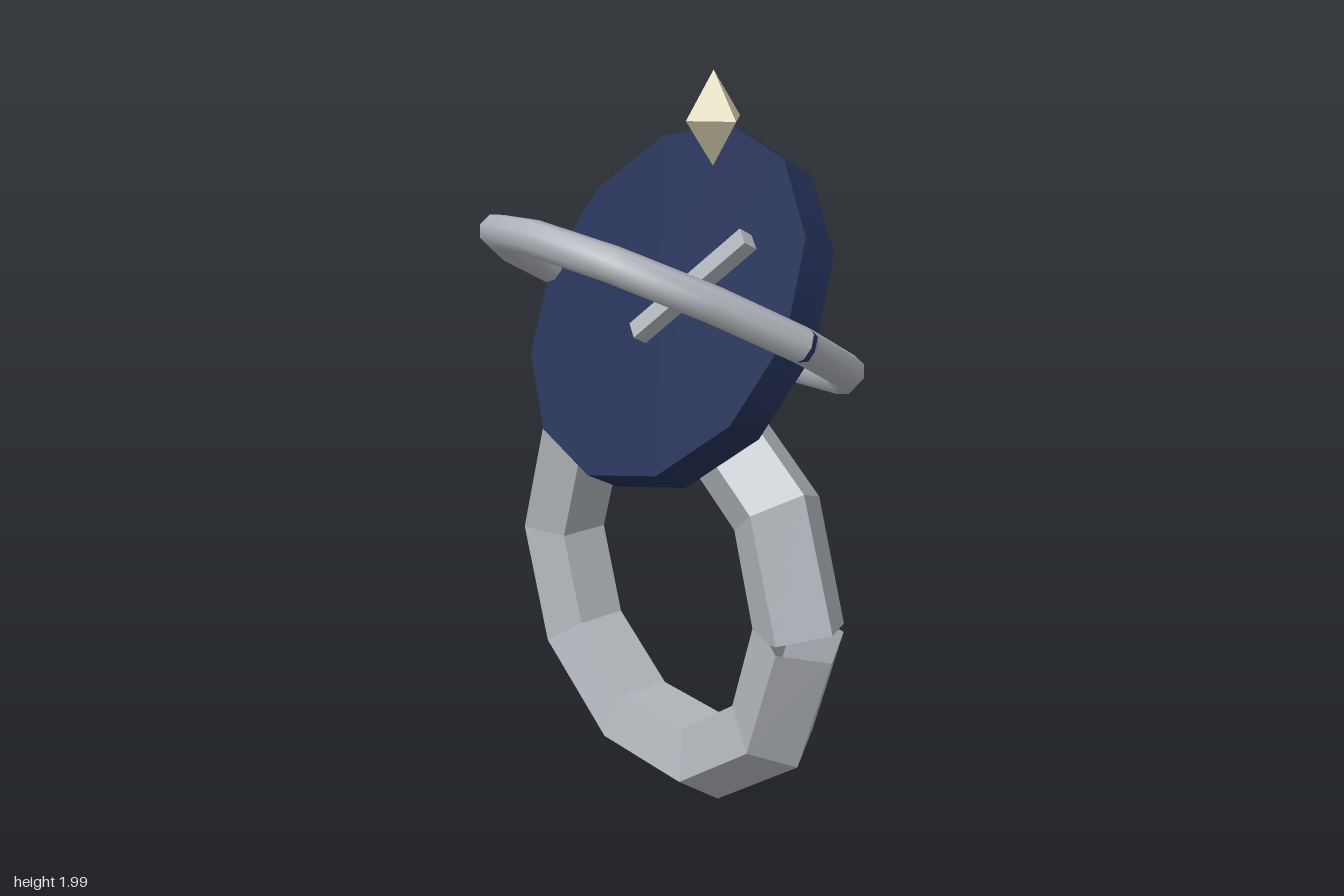
import * as THREE from 'three';

const silver = new THREE.MeshStandardMaterial({ color: 0xb0b4ba, side: THREE.DoubleSide });
silver.name = 'silver';
const navy = new THREE.MeshStandardMaterial({ color: 0x232f55 });
navy.name = 'navy';
const cream = new THREE.MeshStandardMaterial({ color: 0xd8d0b0 });
cream.name = 'cream';

// Open polygonal hoop in the XY plane; its two square-cut ends meet at +x and leave a wedge-shaped notch
function hoop(radius, tube, segments, sides) {
  const positions = [], indices = [];
  const half = Math.PI / segments;
  for (let i = 0; i <= segments; i++) {
    const a = 2 * half * i;
    const b = i === 0 ? half : i === segments ? a - half : a;
    for (let j = 0; j < sides; j++) {
      const p = (j / sides) * Math.PI * 2;
      const out = tube * Math.cos(p);
      positions.push(
        radius * Math.cos(a) + out * Math.cos(b),
        radius * Math.sin(a) + out * Math.sin(b),
        tube * Math.sin(p)
      );
      if (i < segments) {
        const k = i * sides, n = (j + 1) % sides;
        indices.push(k + j, k + sides + j, k + n, k + sides + j, k + sides + n, k + n);
      }
    }
  }
  const g = new THREE.BufferGeometry();
  g.setAttribute('position', new THREE.Float32BufferAttribute(positions, 3));
  g.setIndex(indices);
  g.computeVertexNormals();
  return g;
}

// Hard-edged copy of a geometry
function faceted(geometry) {
  const g = geometry.index ? geometry.toNonIndexed() : geometry;
  g.computeVertexNormals();
  return g;
}

function add(parent, name, geometry, material, x = 0, y = 0, z = 0) {
  const mesh = new THREE.Mesh(geometry, material);
  mesh.name = name;
  mesh.position.set(x, y, z);
  parent.add(mesh);
  return mesh;
}

export function createModel() {
  const model = new THREE.Group();
  model.name = 'ring';

  // Finger band with a five-sided section
  add(model, 'band', faceted(hoop(0.526, 0.124, 10, 5)), silver, 0, 0.625, 0);

  // Tilted head: disc, pointer and the hoop crossing it
  const head = new THREE.Group();
  head.name = 'head';
  head.position.set(0, 1.39, 0);
  head.rotation.x = Math.PI / 2 - 0.5;
  model.add(head);
  add(head, 'disc', new THREE.CylinderGeometry(0.5, 0.5, 0.11, 12), navy);
  add(head, 'orbitHoop', hoop(0.507, 0.046, 12, 8), silver);
  const pointer = add(head, 'pointer', new THREE.BoxGeometry(0.05, 0.05, 0.41), silver, 0.13, 0.075, -0.052);
  pointer.rotation.y = -0.7;

  // Upright gem on the rim of the disc
  const gem = add(model, 'gem', faceted(new THREE.OctahedronGeometry(1)), cream, 0, 1.875, -0.133);
  gem.scale.set(0.092, 0.125, 0.092);

  return model;
}
